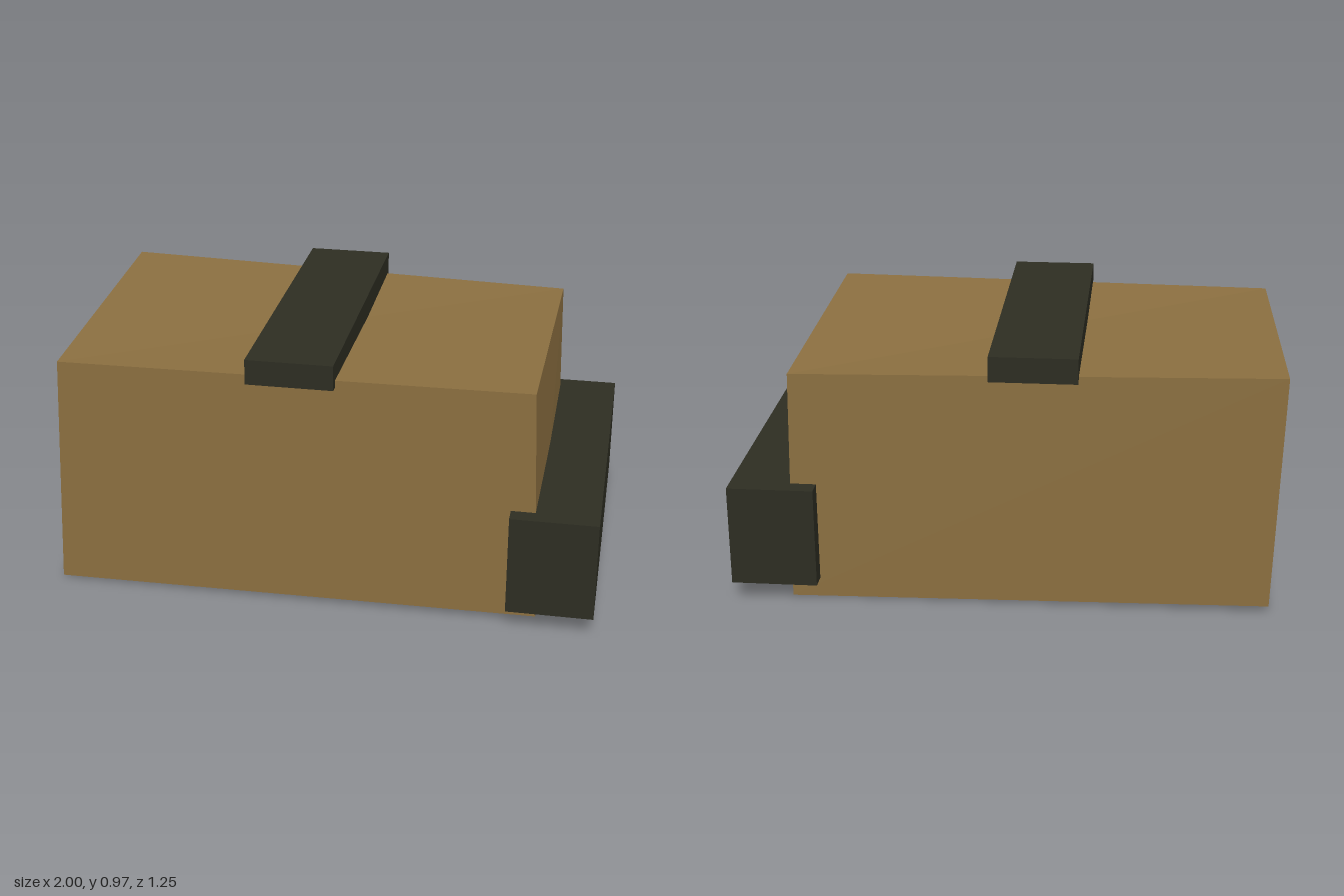
import * as THREE from 'three';

const cardboard = new THREE.MeshStandardMaterial({ color: 0x8b6f40 });
cardboard.name = 'cardboard brown';
const dark = new THREE.MeshStandardMaterial({ color: 0x2d2d22 });
dark.name = 'dark olive';

// Plain block given by its extents on each axis
function block(name, [x0, x1], [y0, y1], [z0, z1]) {
  const mesh = new THREE.Mesh(new THREE.BoxGeometry(x1 - x0, y1 - y0, z1 - z0), dark);
  mesh.position.set((x0 + x1) / 2, (y0 + y1) / 2, (z0 + z1) / 2);
  mesh.name = name;
  return mesh;
}

// Slightly crooked box: each unit-box corner moves to its own place
function crookedBox() {
  const corners = {
    '-1,-1,1': [-1, 0.012, 0.556],
    '1,-1,1': [0.79, 0.031, 0.562],
    '-1,1,1': [-0.96, 0.896, 0.556],
    '1,1,1': [0.755, 0.913, 0.569],
    '-1,-1,-1': [-0.96, 0.032, -0.56],
    '1,-1,-1': [0.79, 0.004, -0.56],
    '-1,1,-1': [-0.985, 0.917, -0.577],
    '1,1,-1': [0.77, 0.878, -0.564],
  };
  const geometry = new THREE.BoxGeometry(2, 2, 2).toNonIndexed();
  const p = geometry.attributes.position;
  for (let i = 0; i < p.count; i++) {
    p.setXYZ(i, ...corners[[p.getX(i), p.getY(i), p.getZ(i)].join(',')]);
  }
  geometry.computeVertexNormals();
  return geometry;
}

export function createModel() {
  const model = new THREE.Group();
  model.name = 'crate';

  const body = new THREE.Mesh(crookedBox(), cardboard);
  body.name = 'body';
  model.add(body);

  // Strap across the top and thick bar along the left side
  model.add(block('topStrap', [-0.26, 0.055], [0.88, 0.973], [-0.595, 0.595]));
  model.add(block('sideBar', [0.685, 1], [0.08, 0.456], [-0.627, 0.627]));

  return model;
}
